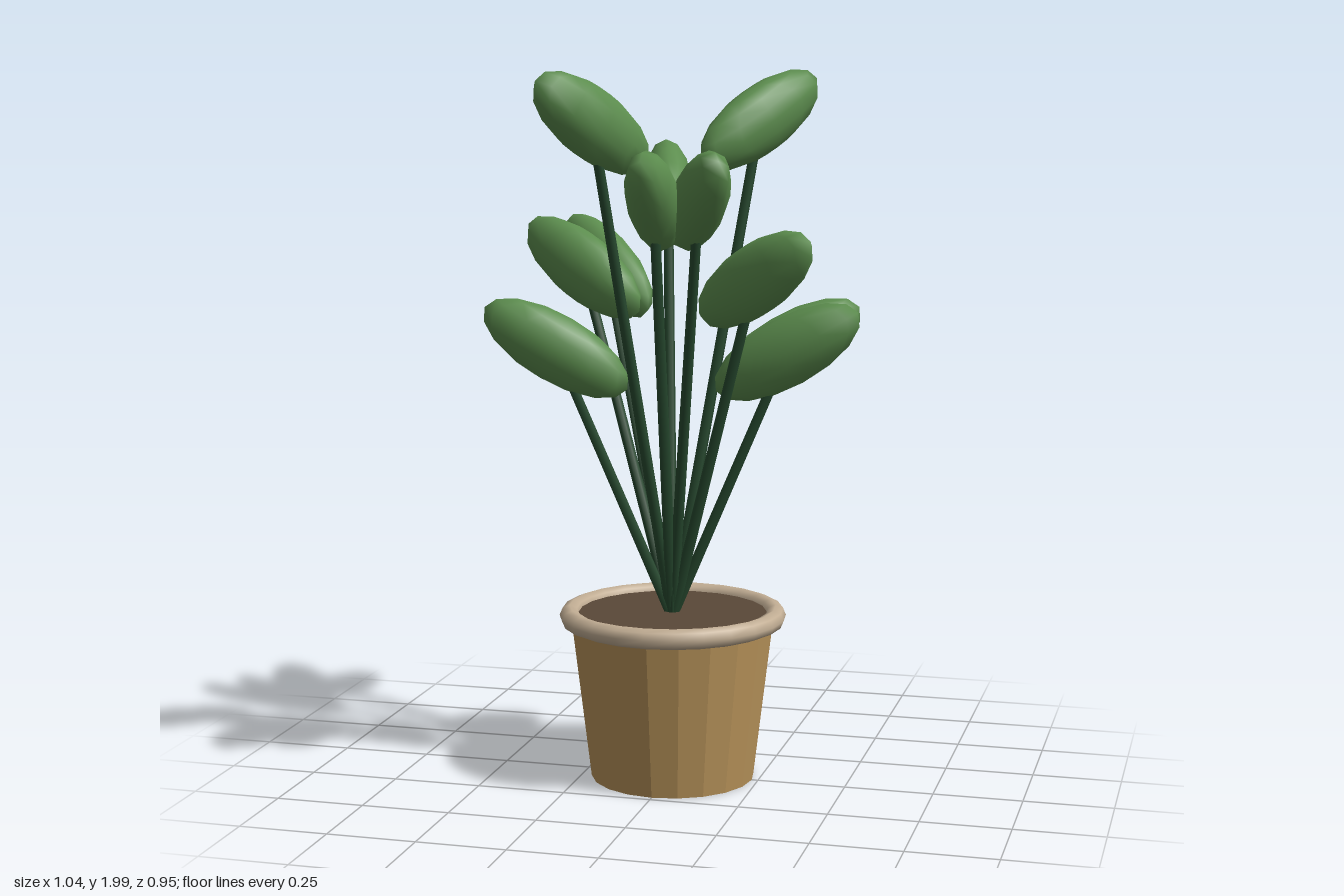
import * as THREE from 'three';

const material = (name, color) => {
  const m = new THREE.MeshStandardMaterial({ color });
  m.name = name;
  return m;
};

function add(parent, name, geometry, mat) {
  const mesh = new THREE.Mesh(geometry, mat);
  mesh.name = name;
  parent.add(mesh);
  return mesh;
}

export function createModel() {
  const clay = material('ochre clay', 0xb8935a);
  const rimClay = material('pale rim', 0xc2ae94);
  const earth = material('brown soil', 0x5a4838);
  const stemGreen = material('dark stem green', 0x26482e);
  const leafGreen = material('leaf green', 0x5c8d4e);

  const plant = new THREE.Group();
  plant.name = 'pottedPlant';

  // Tapered pot with faceted sides
  const potShape = new THREE.CylinderGeometry(0.288, 0.232, 0.465, 20).toNonIndexed();
  potShape.computeVertexNormals();
  add(plant, 'pot', potShape, clay).position.y = 0.2325;

  // Rounded rim
  const rim = add(plant, 'rim', new THREE.TorusGeometry(0.292, 0.029, 8, 24), rimClay);
  rim.rotation.x = Math.PI / 2;
  rim.position.y = 0.467;

  // Soil disc
  add(plant, 'soil', new THREE.CylinderGeometry(0.28, 0.28, 0.02, 24), earth).position.y = 0.466;

  // Four tiers of leaves: height, reach from the middle, headings in degrees from +x towards +z
  const tiers = [
    [1.225, 0.325, [-1, -18, 168]],
    [1.438, 0.312, [30, 201, 218]],
    [1.652, 0.285, [61, 85, 253]],
    [1.855, 0.298, [-48.5, 121]],
  ];
  const baseY = 0.46;
  const leafShape = new THREE.SphereGeometry(1, 12, 8).scale(0.23, 0.095, 0.071);

  for (const [height, reach, headings] of tiers) {
    const rise = height - baseY;
    const stemShape = new THREE.CylinderGeometry(0.014, 0.016, Math.hypot(rise, reach), 6);
    for (const heading of headings) {
      const shoot = new THREE.Group();
      shoot.name = 'shoot';
      shoot.rotation.y = -THREE.MathUtils.degToRad(heading);
      shoot.position.set(-0.004, 0, -0.008);
      plant.add(shoot);

      // Straight stem leaning out to the middle of its leaf
      const stem = add(shoot, 'stem', stemShape, stemGreen);
      stem.position.set(reach / 2, baseY + rise / 2, 0);
      stem.rotation.z = -Math.atan2(reach, rise);

      // Plump leaf with its outer end raised
      const leaf = add(shoot, 'leaf', leafShape, leafGreen);
      leaf.position.set(reach, height, 0);
      leaf.rotation.z = Math.PI / 6;
    }
  }
  return plant;
}
